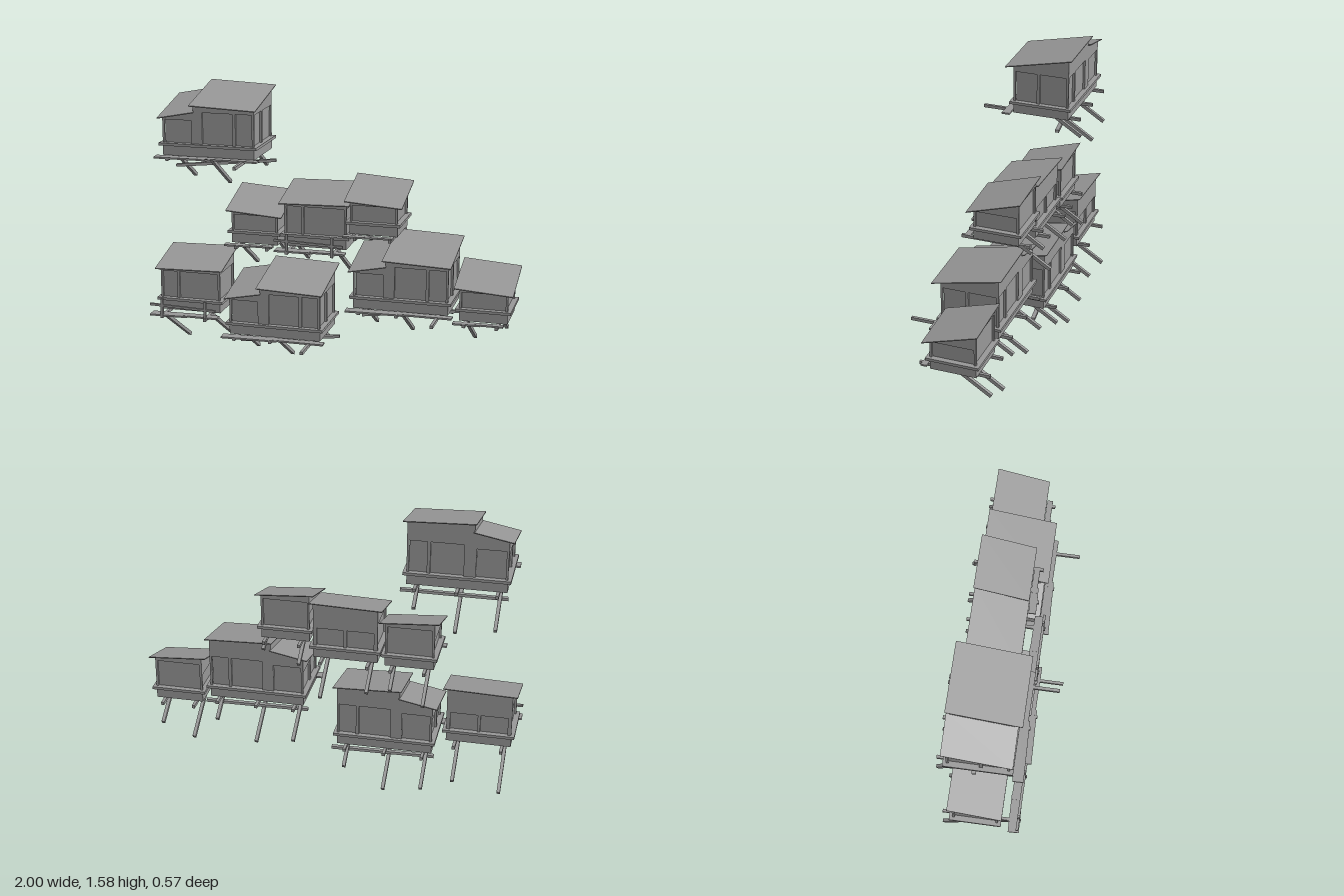
import * as THREE from 'three';

const grey = new THREE.MeshStandardMaterial({ color: 0x999999, flatShading: true });
const INSET = 0.012;
const ROOF = 0.005;

function add(parent, name, geometry) {
  const mesh = new THREE.Mesh(geometry, grey);
  mesh.name = name;
  parent.add(mesh);
  return mesh;
}

// Axis-aligned box given by its limits
function box(parent, name, x0, x1, y0, y1, z0, z1) {
  const m = add(parent, name, new THREE.BoxGeometry(x1 - x0, y1 - y0, z1 - z0));
  m.position.set((x0 + x1) / 2, (y0 + y1) / 2, (z0 + z1) / 2);
  return m;
}

// Box whose lower and upper faces follow height functions of (x, z)
function slab(parent, name, x0, x1, z0, z1, low, high) {
  const g = new THREE.BoxGeometry(1, 1, 1);
  const p = g.attributes.position;
  for (let i = 0; i < p.count; i++) {
    const x = p.getX(i) < 0 ? x0 : x1, z = p.getZ(i) < 0 ? z0 : z1;
    p.setXYZ(i, x, (p.getY(i) < 0 ? low : high)(x, z), z);
  }
  g.computeVertexNormals();
  return add(parent, name, g);
}

// Square bar between two points
function bar(parent, name, a, b, w, h) {
  const from = new THREE.Vector3(...a), to = new THREE.Vector3(...b);
  const m = add(parent, name, new THREE.BoxGeometry(w, h, from.distanceTo(to)));
  m.position.copy(from).add(to).multiplyScalar(0.5);
  m.lookAt(to);
  return m;
}

// Wall frame with sloping top and rectangular panel openings [u0, u1, y0, y1]
function frame(parent, name, u0, u1, y0, top0, top1, holes) {
  const s = new THREE.Shape();
  s.moveTo(u0, y0);
  s.lineTo(u1, y0);
  s.lineTo(u1, top1);
  s.lineTo(u0, top0);
  for (const [a, b, c, d] of holes) {
    const h = new THREE.Path();
    h.moveTo(a, c);
    h.lineTo(a, d);
    h.lineTo(b, d);
    h.lineTo(b, c);
    s.holes.push(h);
  }
  return add(parent, name, new THREE.ExtrudeGeometry(s, { depth: INSET, bevelEnabled: false }));
}

// One room: recessed core, four panelled frames and a tilted lean-to roof
function bay(parent, o) {
  const [x0, x1] = o.x, [z0, z1] = o.z, [rx0, rx1] = o.roofX, [rz0, rz1] = o.roofZ;
  const plane = (x, z) => o.front + o.tilt * (x - rx0) / (rx1 - rx0) + o.rise * (rz1 - z) / (rz1 - rz0);
  const y0 = 0.055, d = INSET;
  const room = new THREE.Group();
  room.name = 'room';
  parent.add(room);
  slab(room, 'recessedPanels', x0 + d, x1 - d, z0 + d, z1 - d, () => y0, plane);
  const cut = (list, top) => list.map(([a, b]) => [a, b, 0.07, top]);
  frame(room, 'frontFrame', x0, x1, y0, plane(x0, z1), plane(x1, z1), cut(o.panels, o.panelTop))
    .position.z = z1 - d;
  frame(room, 'backFrame', x0, x1, y0, plane(x0, z0), plane(x1, z0), cut(o.backPanels || o.panels, o.backTop))
    .position.z = z0;
  const sides = o.split ? [[z0 + 0.008, -0.055], [-0.038, z1 - 0.008]] : [[z0 + 0.012, z1 - 0.012]];
  for (const [name, x] of [['leftFrame', x1], ['rightFrame', x0 + d]]) {
    const m = frame(room, name, z0, z1, y0, plane(x, z0), plane(x, z1), cut(sides, o.panelTop));
    m.rotation.y = -Math.PI / 2;
    m.position.x = x;
  }
  slab(room, 'roof', rx0, rx1, rz0, rz1, plane, (x, z) => plane(x, z) + ROOF);
}

// Floor block with the projecting sill band around it
function floor(parent, x0, x1, z0, z1) {
  box(parent, 'floorBlock', x0, x1, 0, 0.055, z0, z1);
  box(parent, 'sillBand', x0 - 0.018, x1 + 0.018, 0.055, 0.07, z0 - 0.018, z1 + 0.018);
}

// Floor beams, each with a strut slanting back to the cliff: [x, drop, front z]
function supports(parent, list) {
  for (const [x, drop, front] of list) {
    box(parent, 'floorBeam', x - 0.008, x + 0.008, -0.015, 0.002, -0.275, front);
    bar(parent, 'strut', [x, -0.008, -0.28 + (drop - 0.018) / 0.64], [x, -drop + 0.01, -0.28], 0.018, 0.019);
  }
}

// Boards of the front walkway, slightly askew, let into the floor beams
function walkway(parent, x0, x1, z, w) {
  const mid = x0 + (x1 - x0) * 0.55;
  box(parent, 'walkwayBoard', x0, mid, -0.006, 0.003, z, z + w).rotation.y = 0.03;
  box(parent, 'walkwayBoard', mid - 0.03, x1, -0.005, 0.004, z, z + w * 0.8).rotation.y = -0.01;
}

function largeHut() {
  const g = new THREE.Group();
  g.name = 'largeHut';
  const z = [-0.218, 0.096];
  floor(g, 0.025, 0.54, ...z);
  bay(g, { x: [0.025, 0.2], z, roofX: [0, 0.205], roofZ: [-0.235, 0.115], front: 0.2, tilt: 0.04, rise: 0.075,
    panels: [[0.035, 0.192]], panelTop: 0.196, backTop: 0.225, split: true });
  bay(g, { x: [0.2, 0.54], z, roofX: [0.19, 0.56], roofZ: [-0.239, 0.138], front: 0.28, tilt: -0.014, rise: 0.08,
    panels: [[0.25, 0.42], [0.437, 0.53]], panelTop: 0.242, backTop: 0.242, split: true });
  supports(g, [[0.07, 0.2, 0.165], [0.275, 0.23, 0.165], [0.49, 0.115, 0.285]]);
  walkway(g, -0.005, 0.57, 0.108, 0.055);
  // Loose pole lying diagonally across the struts
  bar(g, 'crossPole', [0.03, -0.096, -0.085], [0.58, -0.055, -0.17], 0.022, 0.015);
  return g;
}

function smallHut(struts) {
  const g = new THREE.Group();
  g.name = 'smallHut';
  const z = [-0.218, 0.03];
  floor(g, 0.025, 0.285, ...z);
  bay(g, { x: [0.025, 0.285], z, roofX: [0, 0.315], roofZ: [-0.235, 0.06], front: 0.18, tilt: -0.022, rise: 0.088,
    panels: [[0.036, 0.274]], panelTop: 0.158, backTop: 0.225 });
  supports(g, struts.map(([x, drop]) => [x, drop, 0.105]));
  walkway(g, 0.0, 0.27, 0.055, 0.04);
  return g;
}

function mediumHut(struts) {
  const g = new THREE.Group();
  g.name = 'mediumHut';
  const z = [-0.212, 0.035];
  floor(g, 0.025, 0.37, ...z);
  bay(g, { x: [0.025, 0.37], z, roofX: [0, 0.39], roofZ: [-0.232, 0.06], front: 0.234, tilt: 0.01, rise: 0.07,
    panels: [[0.035, 0.12], [0.135, 0.36]], panelTop: 0.222,
    backPanels: [[0.045, 0.19], [0.205, 0.35]], backTop: 0.17 });
  supports(g, struts.map(([x, drop]) => [x, drop, 0.155]));
  walkway(g, 0.0, 0.385, 0.09, 0.06);
  // Railing on the walkway
  for (const [x] of struts) box(g, 'railPost', x - 0.007, x + 0.007, -0.015, 0.095, 0.137, 0.15);
  bar(g, 'handRail', [0.0, 0.058, 0.143], [0.38, 0.046, 0.143], 0.014, 0.012);
  return g;
}

export function createModel() {
  const model = new THREE.Group();
  model.name = 'cliffVillage';
  const place = (hut, x, y) => {
    hut.position.set(x, y, 0);
    model.add(hut);
  };
  place(largeHut(), -0.94, 1.215);
  place(largeHut(), -0.58, 0.23);
  place(largeHut(), 0.12, 0.44);
  place(smallHut([[0.07, 0.2], [0.245, 0.125]]), -0.58, 0.735);
  place(smallHut([[0.07, 0.12], [0.26, 0.05]]), 0.083, 0.83);
  place(smallHut([[0.063, 0.2], [0.237, 0.13]]), 0.683, 0.397);
  place(mediumHut([[0.07, 0.26], [0.32, 0.22]]), -1.0, 0.32);
  place(mediumHut([[0.07, 0.16], [0.32, 0.215]]), -0.28, 0.74);
  return model;
}
